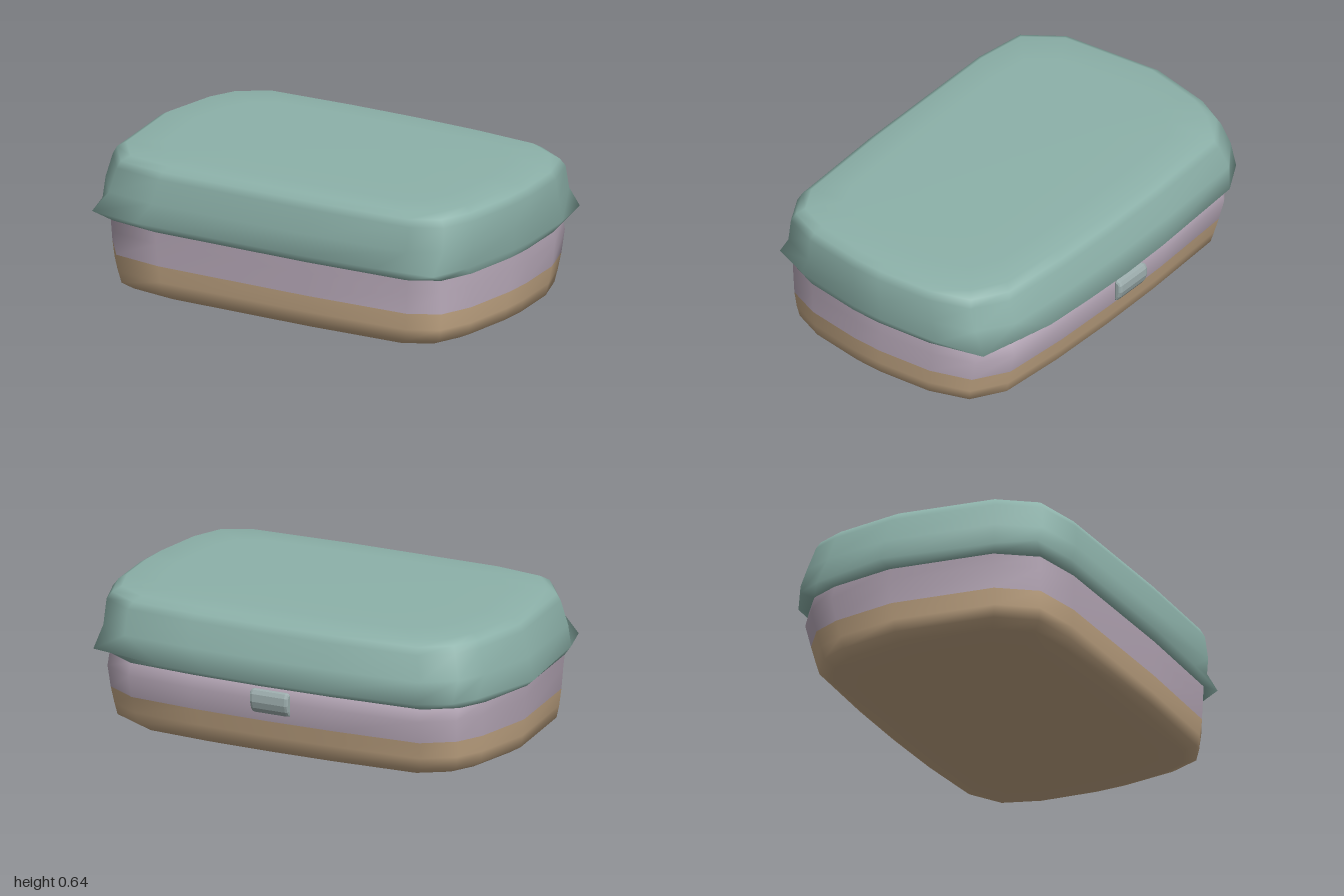
import * as THREE from 'three';

// Outlines in unit space: x and z run from -1 to 1, all with the same point count
const RIM = [
  [-1, -.1], [-.91, -.64], [-.85, -.81], [-.7, -.94], [-.2, -.99], [.05, -1], [.3, -.99], [.55, -.97],
  [.92, -.85], [.97, -.52], [1, -.08], [1, .15], [.96, .64], [.9, .9], [.62, .95], [.23, .985],
  [-.6, 1], [-.85, .94], [-.91, .67],
];
const ROUNDED = [
  [-1, -.1], [-.95, -.58], [-.89, -.79], [-.75, -.95], [-.3, -.99], [.05, -1], [.4, -.99], [.74, -.95],
  [.9, -.8], [.97, -.5], [1, -.08], [1, .15], [.97, .58], [.91, .83], [.77, .95], [.25, .99],
  [-.55, 1], [-.8, .94], [-.93, .67],
];

// Joins outlines stacked from bottom to top; each level is [y, x0, x1, z0, z1, outline]
function loft(levels, capBottom, capTop) {
  const n = RIM.length, positions = [], index = [];
  for (const [y, x0, x1, z0, z1, outline = ROUNDED] of levels) {
    for (const [u, v] of outline) {
      positions.push(x0 + (x1 - x0) * (u + 1) / 2, y, z0 + (z1 - z0) * (v + 1) / 2);
    }
  }
  for (let j = 0; j < levels.length - 1; j++) {
    for (let i = 0; i < n; i++) {
      const k = (i + 1) % n;
      const a = j * n + i, b = j * n + k, c = a + n, d = b + n;
      index.push(a, c, b, b, c, d);
    }
  }
  // Close an end with a fan around its centre
  const cap = (level, start, top) => {
    const [y, x0, x1, z0, z1] = level, centre = positions.length / 3;
    positions.push((x0 + x1) / 2, y, (z0 + z1) / 2);
    for (let i = 0; i < n; i++) {
      const a = start + i, b = start + (i + 1) % n;
      index.push(...(top ? [b, a, centre] : [a, b, centre]));
    }
  };
  if (capBottom) cap(levels[0], 0, false);
  if (capTop) cap(levels[levels.length - 1], (levels.length - 1) * n, true);
  const geometry = new THREE.BufferGeometry();
  geometry.setAttribute('position', new THREE.Float32BufferAttribute(positions, 3));
  geometry.setIndex(index);
  geometry.computeVertexNormals();
  return geometry;
}

function material(name, color) {
  const m = new THREE.MeshStandardMaterial({ color });
  m.name = name;
  return m;
}

export function createModel() {
  const group = new THREE.Group();
  group.name = 'case';
  const add = (name, geometry, mat) => {
    const mesh = new THREE.Mesh(geometry, mat);
    mesh.name = name;
    group.add(mesh);
  };

  // Base tray with rounded lower edge
  add('base', loft([
    [0, -.74, .76, -.42, .46],
    [.015, -.87, .9, -.53, .57],
    [.045, -.92, .96, -.565, .61],
    [.1, -.93, .97, -.58, .622],
    [.177, -.94, .98, -.6, .63],
  ], true, false), material('tan', 0xc9ac89));

  // Middle band, swelling slightly towards the clasp
  add('middleBand', loft([
    [.177, -.94, .98, -.6, .63],
    [.28, -.95, .985, -.625, .635],
    [.335, -.955, .985, -.605, .637],
  ], false, false), material('mauve', 0xbdaebe));

  // Lid with a flared rim and softly rounded top
  add('lid', loft([
    [.335, -.955, .985, -.605, .637],
    [.372, -1, 1, -.672, .67, RIM],
    [.47, -.968, 1, -.642, .655],
    [.58, -.935, .998, -.608, .637],
    [.612, -.918, .975, -.59, .622],
    [.634, -.88, .94, -.555, .59],
    [.639, -.72, .78, -.42, .46],
    [.64, -.4, .44, -.22, .26],
  ], false, true), material('sage green', 0x8db2aa));

  // Clasp on the back, a short bar with a curved outer face and softened ends
  const profile = new THREE.Shape([
    [.632, .225], [.645, .228], [.66, .25], [.669, .28], [.668, .315],
    [.66, .333], [.64, .335], [.632, .325],
  ].map(([x, y]) => new THREE.Vector2(x, y)));
  const clasp = new THREE.ExtrudeGeometry(profile, {
    depth: .16, bevelThickness: .015, bevelSize: .01, bevelOffset: -.01, bevelSegments: 2,
  });
  clasp.translate(0, 0, -.08).rotateY(Math.PI / 2);
  add('clasp', clasp, material('grey blue', 0x9fb0b0));

  return group;
}
